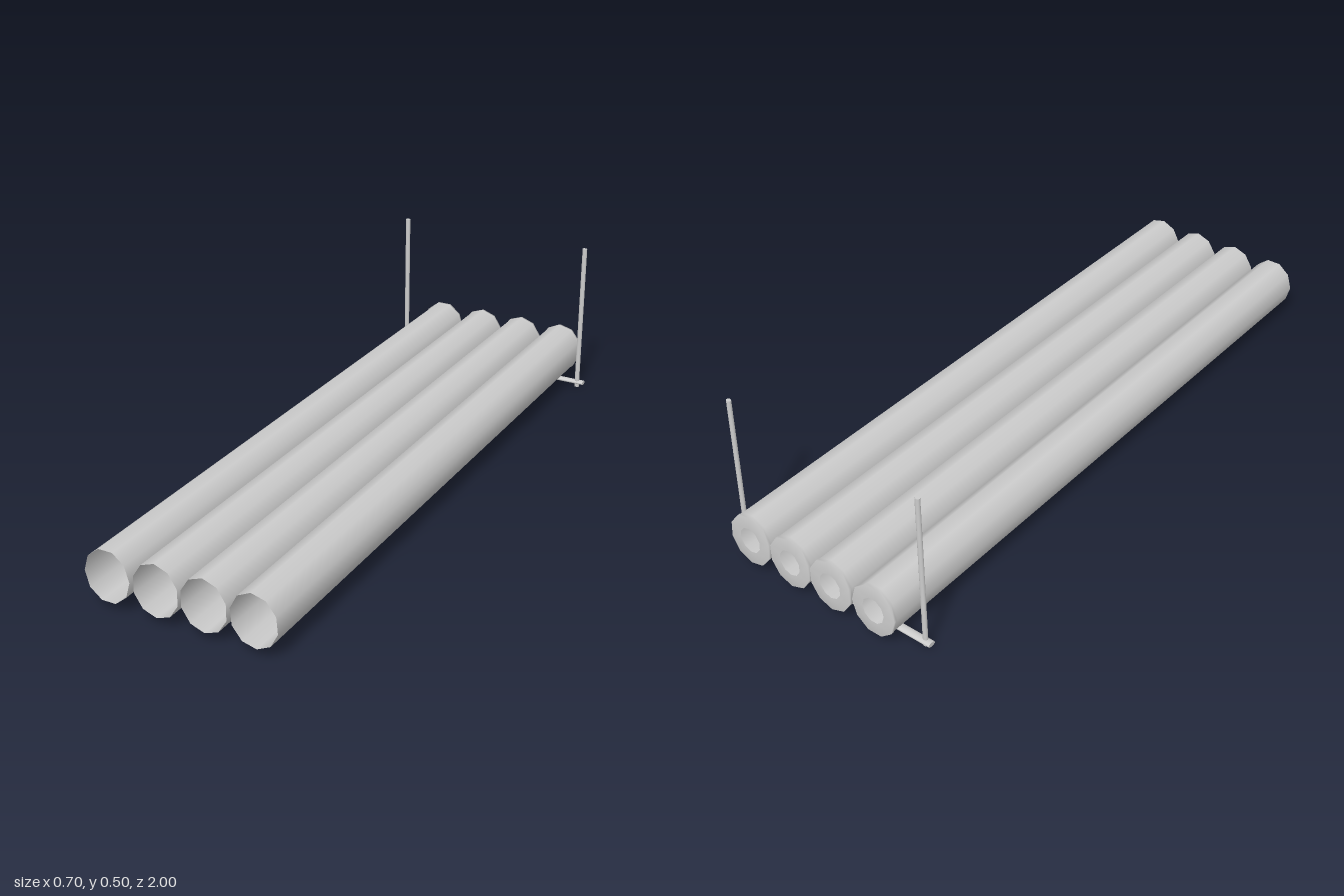
import * as THREE from 'three';

const grey = new THREE.MeshStandardMaterial({ color: 0xcccccc });
const greyOpen = new THREE.MeshStandardMaterial({ color: 0xcccccc, side: THREE.DoubleSide });

function addMesh(parent, name, geometry, material, x, y, z) {
  const mesh = new THREE.Mesh(geometry, material);
  mesh.name = name;
  mesh.position.set(x, y, z);
  parent.add(mesh);
  return mesh;
}

// Ten-sided open pipe: holed rear plate, narrow rear collar, long thin wall
function pipeGeometry(turn) {
  const profile = [
    [0.037, -1], [0.0735, -1], [0.0735, -0.992], [0.0715, -0.985], [0.0715, 1],
  ].map(([r, z]) => new THREE.Vector2(r, z));
  return new THREE.LatheGeometry(profile, 10, THREE.MathUtils.degToRad(turn))
    .rotateX(Math.PI / 2)
    .scale(1, 1.125, 1); // slightly taller than wide
}

export function createModel() {
  const model = new THREE.Group();
  model.name = 'pipeRack';

  // Row of four pipes, each rolled a little differently
  const pipes = new THREE.Group();
  pipes.name = 'pipes';
  model.add(pipes);
  [[-0.212, 18], [-0.06, 0], [0.087, 0], [0.236, 5]].forEach(([x, turn], i) => {
    addMesh(pipes, `pipe${i + 1}`, pipeGeometry(turn), greyOpen, x, 0.104, 0);
  });

  // Rear support: flattened crossbar with an upright near each end
  const support = new THREE.Group();
  support.name = 'support';
  model.add(support);
  const bar = new THREE.CylinderGeometry(1, 1, 0.702, 12)
    .rotateZ(Math.PI / 2)
    .scale(1, 0.0065, 0.013);
  addMesh(support, 'crossbar', bar, grey, 0, 0.016, -0.935);
  for (const side of [-1, 1]) {
    const post = new THREE.CylinderGeometry(1, 1, 0.497, 12).scale(0.008, 1, 0.0065);
    addMesh(support, side > 0 ? 'leftPost' : 'rightPost', post, grey, side * 0.328, 0.2485, -0.933);
  }
  return model;
}
